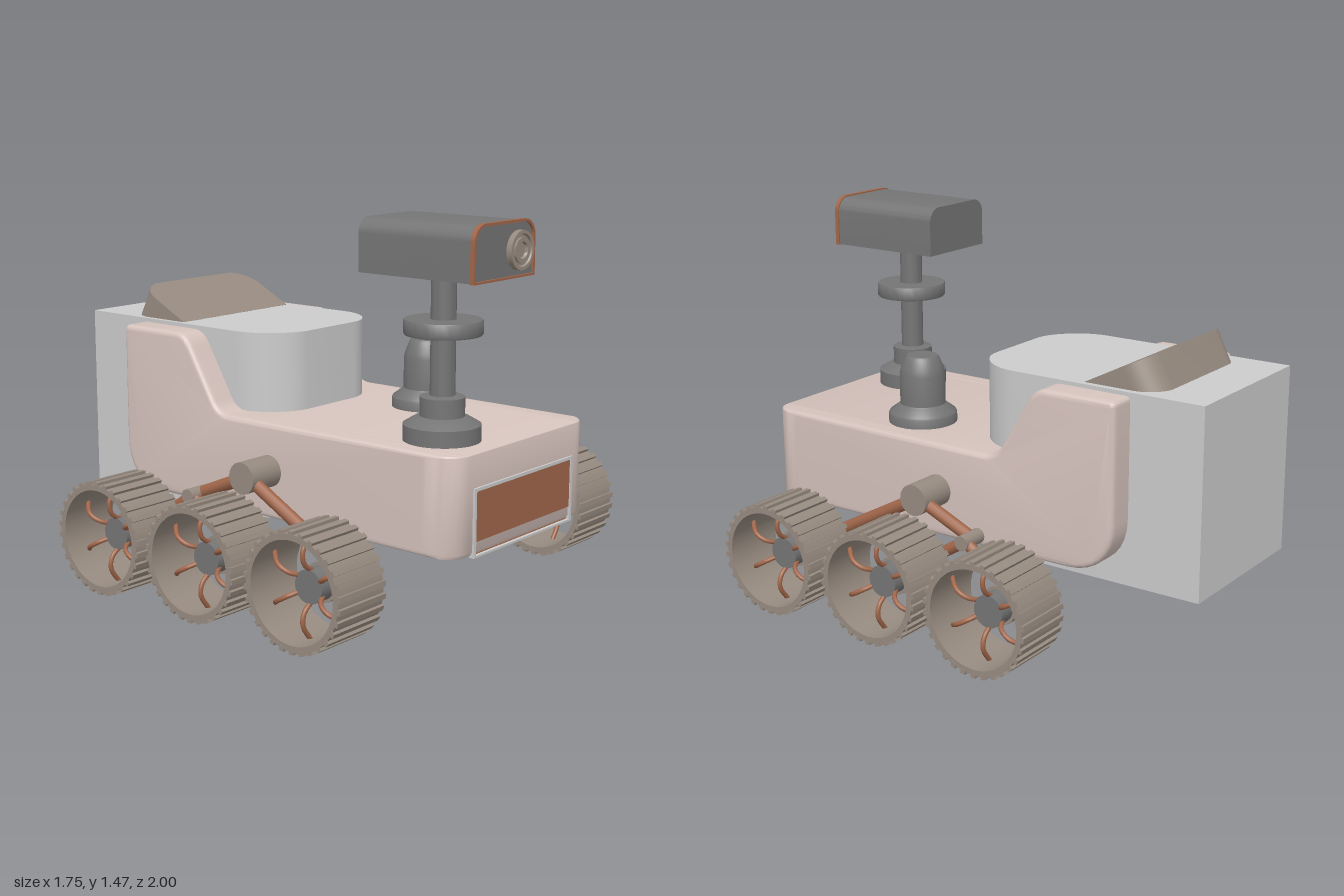
import * as THREE from 'three';
import { toCreasedNormals } from 'three/addons/utils/BufferGeometryUtils.js';

const mat = (color) => new THREE.MeshStandardMaterial({ color });
const V = (x, y, z) => new THREE.Vector3(x, y, z);

export function createModel() {
  const root = new THREE.Group();
  const grey = mat(0xcccccc), dark = mat(0x757575), pink = mat(0xd6c3bd);
  const brown = mat(0xa0664a), taupe = mat(0x978b80);

  function add(name, geo, material, parent = root) {
    const mesh = new THREE.Mesh(geo, material);
    mesh.name = name;
    parent.add(mesh);
    return mesh;
  }
  const crease = (g, a = 0.6) => toCreasedNormals(g, a);
  // cylinder lying along x
  function cylX(name, x0, x1, r, y, z, material, parent) {
    const g = new THREE.CylinderGeometry(r, r, Math.abs(x1 - x0), 28).rotateZ(Math.PI / 2);
    add(name, g, material, parent).position.set((x0 + x1) / 2, y, z);
  }
  function rod(name, points, r, material, parent) {
    const curve = points.length > 2 ? new THREE.CatmullRomCurve3(points) : new THREE.LineCurve3(...points);
    add(name, new THREE.TubeGeometry(curve, points.length > 2 ? 10 : 1, r, 12), material, parent);
  }
  const lathe = (pts, seg = 40) =>
    crease(new THREE.LatheGeometry(pts.map((p) => new THREE.Vector2(...p)), seg));
  // rectangle whose two upper corners are rounded
  function archShape(x0, x1, y0, y1, rx, ry = rx) {
    const s = new THREE.Shape();
    s.moveTo(x0, y0).lineTo(x1, y0).lineTo(x1, y1 - ry);
    s.bezierCurveTo(x1, y1 - ry * 0.45, x1 - rx * 0.55, y1, x1 - rx, y1);
    s.lineTo(x0 + rx, y1);
    s.bezierCurveTo(x0 + rx * 0.55, y1, x0, y1 - ry * 0.45, x0, y1 - ry);
    return s;
  }
  const extrude = (shape, depth) =>
    crease(new THREE.ExtrudeGeometry(shape, { depth, bevelEnabled: false, curveSegments: 12 }));

  // Hull: side profile (z, y) swept across the width, front corners pulled back
  const side = new THREE.Shape();
  side.moveTo(0.94, 0.31).lineTo(0.94, 0.655).quadraticCurveTo(0.94, 0.665, 0.93, 0.665);
  side.lineTo(-0.13, 0.665).quadraticCurveTo(-0.18, 0.665, -0.21, 0.71);
  side.lineTo(-0.33, 0.91).quadraticCurveTo(-0.36, 0.96, -0.41, 0.96);
  side.lineTo(-0.68, 0.96).quadraticCurveTo(-0.70, 0.96, -0.70, 0.94);
  side.lineTo(-0.70, 0.5).bezierCurveTo(-0.70, 0.38, -0.63, 0.30, -0.50, 0.30);
  side.lineTo(0.93, 0.295);
  const b = 0.02, half = 0.44;
  let hull = new THREE.ExtrudeGeometry(side, {
    depth: 2 * (half - b), steps: 44, bevelThickness: b, bevelSize: b, bevelOffset: -b,
    bevelSegments: 4, curveSegments: 8,
  });
  hull.translate(0, 0, b - half).rotateY(-Math.PI / 2);
  const p = hull.attributes.position, rx = 0.09, rz = 0.12;
  for (let i = 0; i < p.count; i++) {
    const t = Math.min(1, Math.max(0, (Math.abs(p.getX(i)) - half + rx) / rx));
    const pull = rz * (1 - Math.sqrt(1 - t * t));
    if (p.getZ(i) > 0.5) p.setZ(i, 0.5 + (p.getZ(i) - 0.5) * (1 - pull / 0.44));
  }
  hull.deleteAttribute('normal');
  add('hull', crease(hull, 0.7), pink);

  // Rear housing with rounded front end, and tilted hatch on its roof
  const housing = extrude(archShape(-0.33, 0.33, -0.02, 1, 0.19, 0.21), 0.735);
  housing.rotateX(Math.PI / 2).translate(0, 0.975, -0.98);
  add('rearHousing', housing, grey);
  const hatch = add('hatch', extrude(archShape(-0.31, 0.305, 0, 0.28, 0.1), 0.14), taupe);
  hatch.rotation.x = -1.107;
  hatch.position.set(0, 0.85, -0.553);

  // Front panel: frame, inset plate and the strip under the nose
  const frame = new THREE.Shape();
  frame.moveTo(-0.32, 0.287).lineTo(0.315, 0.287).lineTo(0.315, 0.54).lineTo(-0.32, 0.54);
  const hole = new THREE.Path();
  hole.moveTo(-0.307, 0.295).lineTo(-0.307, 0.528).lineTo(0.302, 0.528).lineTo(0.302, 0.295);
  frame.holes.push(hole);
  add('panelFrame', extrude(frame, 0.02), grey).position.z = 0.928;
  add('frontPanel', new THREE.BoxGeometry(0.61, 0.185, 0.02), brown).position.set(-0.002, 0.436, 0.934);
  add('noseStrip', new THREE.BoxGeometry(0.6, 0.012, 0.11), brown).position.set(0, 0.292, 0.88);

  // Camera mast
  const mast = new THREE.Group();
  mast.name = 'mast';
  mast.position.set(-0.216, 0, 0.725);
  root.add(mast);
  add('mastPole', lathe([
    [0, 0.66], [0.142, 0.66], [0.142, 0.725], [0.1, 0.75], [0.082, 0.755], [0.082, 0.825],
    [0.046, 0.83], [0.046, 1.05], [0.14, 1.05], [0.143, 1.055], [0.143, 1.1], [0.14, 1.105], [0.046, 1.105],
    [0.046, 1.25], [0.08, 1.25], [0.08, 1.27], [0, 1.27],
  ]), dark, mast);
  add('cameraHead', extrude(archShape(-0.395, -0.04, 1.268, 1.463, 0.055), 0.49), dark).position.z = 0.48;
  const rim = archShape(-0.4, -0.035, 1.266, 1.468, 0.06);
  rim.holes.push(archShape(-0.39, -0.045, 1.274, 1.458, 0.05));
  add('cameraRim', extrude(rim, 0.018), brown).position.z = 0.966;
  add('cameraFace', extrude(archShape(-0.392, -0.043, 1.272, 1.46, 0.055), 0.01), dark).position.z = 0.965;
  const lens = lathe([
    [0, 0], [0.07, 0], [0.07, 0.022], [0.058, 0.022], [0.054, 0.014], [0.046, 0.014],
    [0.046, 0.022], [0.03, 0.022], [0.026, 0.012], [0, 0.012],
  ], 32).rotateX(Math.PI / 2);
  add('cameraLens', lens, taupe).position.set(-0.133, 1.362, 0.977);

  // Deck beacon
  add('beacon', lathe([
    [0, 0.66], [0.136, 0.66], [0.136, 0.7], [0.132, 0.708], [0.095, 0.735], [0.09, 0.74],
    [0.09, 0.86], [0.084, 0.885], [0.068, 0.925], [0.06, 0.934], [0, 0.934],
  ]), dark).position.set(0.212, 0, 0.332);

  // Wheel: open rim, tread slats, bowed spokes and motor hub
  function wheel(s, z) {
    const g = new THREE.Group();
    g.name = 'wheel';
    g.position.set(s * 0.752, 0.222, z);
    root.add(g);
    const w = 0.122;
    add('wheelRim', lathe([
      [0.188, -w], [0.21, -w], [0.21, w], [0.188, w], [0.188, -w],
    ], 48).rotateZ(Math.PI / 2), taupe, g);
    for (let i = 0; i < 30; i++) {
      const a = (i / 30) * Math.PI * 2;
      const slat = add('treadSlat', new THREE.BoxGeometry(0.246, 0.018, 0.02), taupe, g);
      slat.position.set(0, Math.cos(a) * 0.212, Math.sin(a) * 0.212);
      slat.rotation.x = a;
    }
    for (let i = 0; i < 6; i++) {
      const a = (i / 6) * Math.PI * 2;
      const at = (x, r) => V(s * x, Math.cos(a) * r, Math.sin(a) * r);
      rod('spoke', [at(0, 0.05), at(0.05, 0.085), at(0.06, 0.13), at(0.02, 0.192)], 0.009, brown, g);
    }
    cylX('hubCap', s * -0.05, s * 0.03, 0.062, 0, 0, dark, g);
    cylX('hubRing', s * -0.06, s * -0.035, 0.074, 0, 0, taupe, g);
    cylX('axle', s * -0.19, s * -0.04, 0.05, 0, 0, dark, g);
    cylX('motor', s * -0.225, s * -0.175, 0.065, 0, 0, dark, g);
    cylX('motorEnd', s * -0.25, s * -0.225, 0.052, 0, 0, dark, g);
  }

  // Rocker suspension and wheels, both sides
  for (const s of [1, -1]) {
    for (const z of [0.58, 0.085, -0.4]) wheel(s, z);
    const arm = new THREE.Group();
    arm.name = 'suspension';
    root.add(arm);
    const xi = s * 0.557, xo = s * 0.6;
    cylX('rockerPivot', s * 0.4, s * 0.593, 0.061, 0.485, 0.085, taupe, arm);
    cylX('bogiePivot', s * 0.52, s * 0.628, 0.029, 0.378, -0.165, taupe, arm);
    rod('rockerFrontArm', [V(xi, 0.485, 0.085), V(xi, 0.222, 0.57)], 0.025, brown, arm);
    rod('rockerRearArm', [V(xi, 0.485, 0.085), V(xi, 0.378, -0.165)], 0.025, brown, arm);
    rod('bogieFrontArm', [V(xo, 0.378, -0.165), V(xo, 0.222, 0.085)], 0.022, brown, arm);
    rod('bogieRearArm', [V(xo, 0.378, -0.165), V(xo, 0.222, -0.4)], 0.022, brown, arm);
  }
  return root;
}
